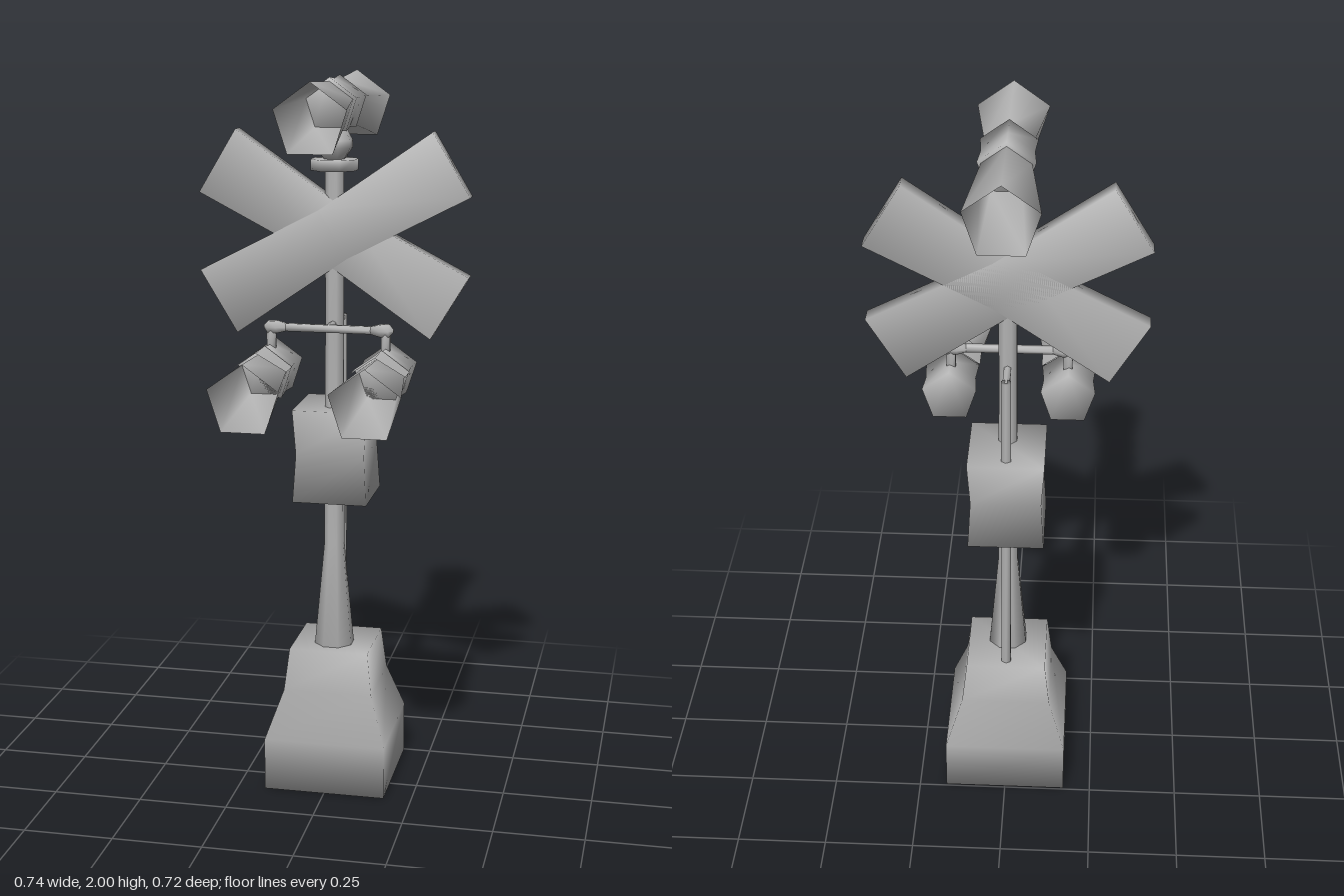
import * as THREE from 'three';

const grey = new THREE.MeshStandardMaterial({ color: 0xb2b2b2, side: THREE.DoubleSide });
grey.name = 'grey metal';

// Smooth skin through equal-sized rings of points, with optional end caps
function loft(rings, capStart = true, capEnd = true) {
  const n = rings[0].length, index = [];
  for (let r = 0; r < rings.length - 1; r++) {
    for (let i = 0; i < n; i++) {
      const j = (i + 1) % n, a = r * n + i, b = r * n + j;
      index.push(a, b, b + n, a, b + n, a + n);
    }
  }
  const last = (rings.length - 1) * n;
  for (let i = 1; i < n - 1; i++) {
    if (capStart) index.push(0, i + 1, i);
    if (capEnd) index.push(last, last + i, last + i + 1);
  }
  const geo = new THREE.BufferGeometry();
  geo.setAttribute('position', new THREE.Float32BufferAttribute(rings.flat(2), 3));
  geo.setIndex(index);
  geo.computeVertexNormals();
  return geo;
}

// Rings lying flat (stacked in y) or standing upright (stacked in z)
const rect = (y, hx, hz) => [[hx, y, hz], [hx, y, -hz], [-hx, y, -hz], [-hx, y, hz]];
const round = (y, r, sides = 8) => Array.from({ length: sides }, (_, i) => {
  const a = (i + 0.5) / sides * Math.PI * 2;
  return [r * Math.cos(a), y, -r * Math.sin(a)];
});
const penta = (z, r, cy) => Array.from({ length: 5 }, (_, i) => {
  const a = Math.PI / 2 + i / 5 * Math.PI * 2;
  return [r * Math.cos(a), cy + r * Math.sin(a), z];
});

function add(parent, name, geo, x = 0, y = 0, z = 0) {
  const mesh = new THREE.Mesh(geo, grey);
  mesh.name = name;
  mesh.position.set(x, y, z);
  parent.add(mesh);
  return mesh;
}

// Thin rod between two points
function rod(parent, name, from, to, r) {
  const a = new THREE.Vector3(...from), b = new THREE.Vector3(...to);
  const dir = b.clone().sub(a), len = dir.length();
  const mesh = add(parent, name, loft([round(0, r, 6), round(len, r, 6)]), ...from);
  mesh.quaternion.setFromUnitVectors(new THREE.Vector3(0, 1, 0), dir.normalize());
  return mesh;
}

// Five-sided housing and its flared open cone; y = 0 is the middle of the cone mouth
const housing = (back, front) =>
  loft([penta(back, 0.077, 0.022), penta((back + front) / 2, 0.071, 0.022), penta(front, 0.077, 0.022)]);
const cone = () => loft([penta(0, 0.066, 0.022), penta(0.25, 0.1, 0)], true, false);

export function createModel() {
  const model = new THREE.Group();
  const poleZ = -0.045;

  // Footing
  add(model, 'base', loft([
    rect(0, 0.172, 0.175), rect(0.15, 0.172, 0.175), rect(0.285, 0.126, 0.126), rect(0.405, 0.112, 0.112),
  ]), 0, 0, -0.07);

  // Pole with flared foot
  add(model, 'pole', loft([
    round(0.39, 0.058), round(0.7, 0.029), round(1.3, 0.026), round(1.86, 0.026),
  ]), 0, 0, poleZ);

  // Control box with a slight waist
  add(model, 'controlBox', loft([
    rect(0.835, 0.104, 0.11), rect(0.97, 0.096, 0.1), rect(1.097, 0.104, 0.11),
  ]), 0, 0, -0.078);

  // Crossed boards
  for (const side of [-1, 1]) {
    const board = add(model, 'crossBoard', loft([
      rect(-0.374, 0.1, 0.025), rect(0, 0.076, 0.025), rect(0.374, 0.1, 0.025),
    ]), 0, 1.578, poleZ);
    board.rotation.z = side * THREE.MathUtils.degToRad(59);
  }

  // Collars under the horn
  add(model, 'lowerCollar', loft([round(1.75, 0.066), round(1.78, 0.066)]), 0, 0, poleZ);
  add(model, 'upperCollar', loft([
    round(1.78, 0.03), round(1.81, 0.05), round(1.83, 0.05), round(1.87, 0.028),
  ]), 0, 0, poleZ);

  // Double-ended horn on top
  const horn = new THREE.Group();
  horn.name = 'horn';
  horn.position.set(0, 1.9, poleZ);
  add(horn, 'hornHousing', housing(-0.069, 0.069));
  for (const turn of [0, Math.PI]) {
    const flare = add(horn, 'hornCone', cone(), 0, 0, turn ? -0.066 : 0.066);
    flare.rotation.y = turn;
  }
  model.add(horn);

  // Conduit up the back and arm carrying the lamps
  rod(model, 'conduit', [0, 0.38, -0.15], [0, 1.34, -0.15], 0.015);
  rod(model, 'conduitArm', [0, 1.331, -0.155], [0, 1.331, 0.04], 0.011);
  rod(model, 'lampBar', [-0.14, 1.331, 0.038], [0.14, 1.331, 0.038], 0.012);

  for (const side of [-1, 1]) {
    // Pointed end fitting and hanger
    const knob = add(model, 'barEnd', loft([
      round(0, 0.012, 6), round(0.025, 0.019, 6), round(0.05, 0.019, 6), round(0.062, 0.004, 6),
    ]), side * 0.117, 1.331, 0.038);
    knob.rotation.z = -side * Math.PI / 2;
    rod(model, 'lampHanger', [side * 0.158, 1.331, 0.038], [side * 0.158, 1.26, 0.038], 0.014);

    // Lamp with open visor cone
    const lamp = new THREE.Group();
    lamp.name = side > 0 ? 'leftLamp' : 'rightLamp';
    lamp.position.set(side * 0.16, 1.19, 0);
    add(lamp, 'lampHousing', housing(-0.025, 0.11));
    add(lamp, 'lampVisor', cone(), 0, 0, 0.11);

    // Peaked hood over the upper two faces
    const back = penta(0.11, 0.079, 0.022), front = penta(0.18, 0.079, 0.022);
    front[0][2] = 0.215;
    const pts = [back[4], back[0], back[1], front[4], front[0], front[1]];
    const hood = new THREE.BufferGeometry();
    hood.setAttribute('position', new THREE.Float32BufferAttribute(pts.flat(), 3));
    hood.setIndex([0, 1, 4, 0, 4, 3, 1, 2, 5, 1, 5, 4]);
    hood.computeVertexNormals();
    add(lamp, 'lampHood', hood);
    model.add(lamp);
  }
  return model;
}
